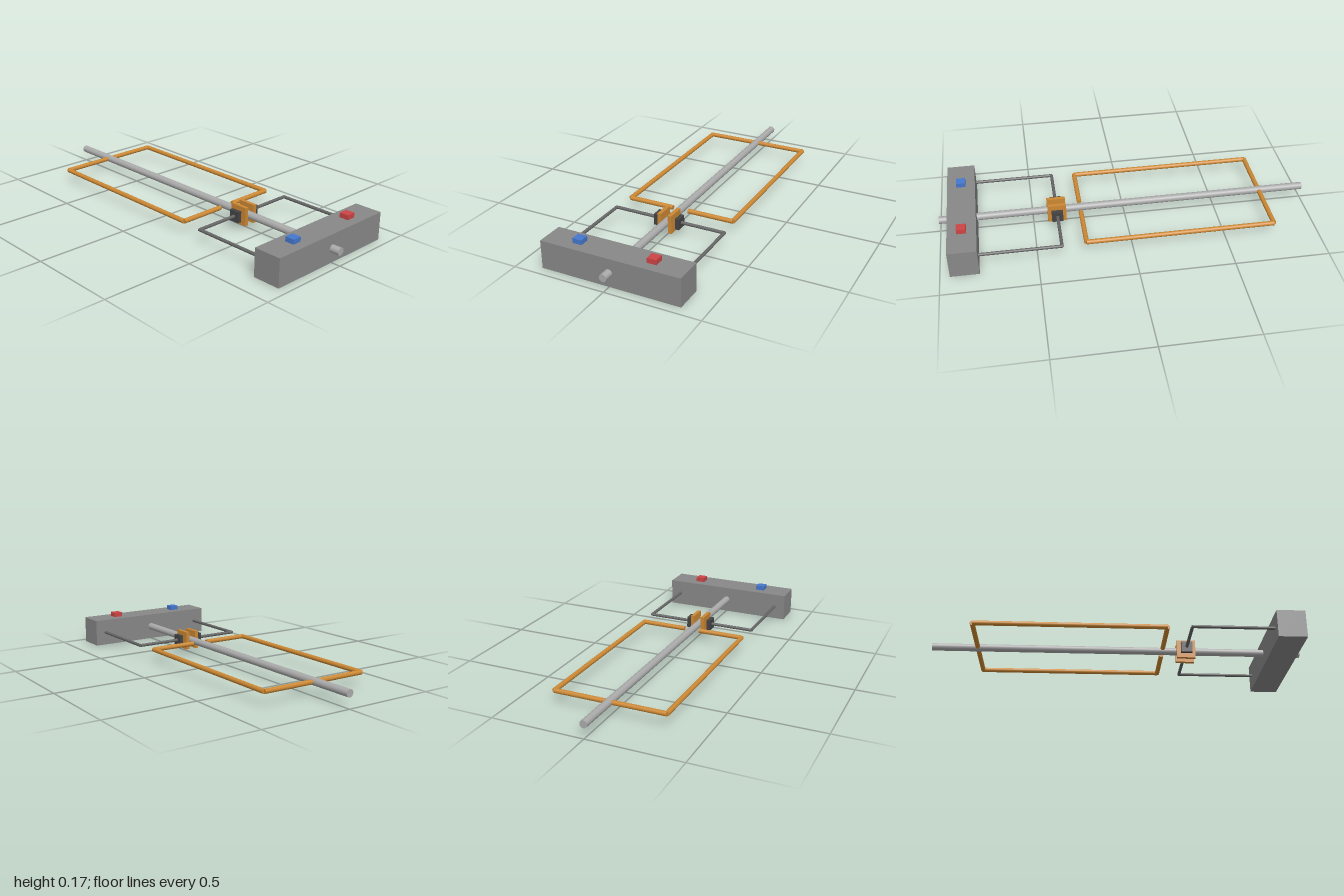
import * as THREE from 'three';

const AXIS_Y = 0.075; // height shared by shaft, coil and leads

const paint = (color) => new THREE.MeshStandardMaterial({ color });

export function createModel() {
  const model = new THREE.Group();
  model.name = 'simpleMotor';

  const casing = paint(0x888888);
  const steel = paint(0xaaaaaa);
  const copper = paint(0xcc8833);
  const carbon = paint(0x444444);
  const leadGrey = paint(0x666666);

  const box = (name, size, pos, material) => {
    const mesh = new THREE.Mesh(new THREE.BoxGeometry(...size), material);
    mesh.position.set(...pos);
    mesh.name = name;
    model.add(mesh);
  };

  // Straight round bar between two [x, z] points at axis height
  const rod = (name, a, b, radius, material) => {
    const from = new THREE.Vector3(a[0], AXIS_Y, a[1]);
    const dir = new THREE.Vector3(b[0], AXIS_Y, b[1]).sub(from);
    const geometry = new THREE.CylinderGeometry(radius, radius, dir.length(), 24);
    const mesh = new THREE.Mesh(geometry, material);
    mesh.position.copy(from).addScaledVector(dir, 0.5);
    mesh.quaternion.setFromUnitVectors(new THREE.Vector3(0, 1, 0), dir.normalize());
    mesh.name = name;
    model.add(mesh);
  };

  // Power supply box with its two terminals
  box('batteryBox', [0.748, 0.15, 0.15], [0, 0.075, 0.875], casing);
  box('positiveTerminal', [0.05, 0.025, 0.05], [0.2, 0.1625, 0.875], paint(0xcc4444));
  box('negativeTerminal', [0.05, 0.025, 0.05], [-0.2, 0.1625, 0.875], paint(0x4477cc));

  // Shaft through everything
  rod('shaft', [0, -1], [0, 1], 0.02, steel);

  // Coil back bar
  rod('coilBack', [-0.3, -0.755], [0.3, -0.755], 0.0125, copper);

  for (const [side, s] of [['left', 1], ['right', -1]]) {
    // Coil side and open front end
    rod(side + 'CoilSide', [s * 0.3, -0.755], [s * 0.3, 0.245], 0.0125, copper);
    rod(side + 'CoilFront', [s * 0.3, 0.245], [s * 0.045, 0.245], 0.0125, copper);

    // Commutator plate and brush
    box(side + 'CommutatorPlate', [0.02, 0.1, 0.1], [s * 0.03, AXIS_Y, 0.373], copper);
    box(side + 'Brush', [0.022, 0.06, 0.06], [s * 0.061, AXIS_Y, 0.373], carbon);

    // Lead from brush back to the box
    rod(side + 'LeadCross', [s * 0.07, 0.373], [s * 0.3125, 0.373], 0.0085, leadGrey);
    rod(side + 'LeadSide', [s * 0.3125, 0.37], [s * 0.3125, 0.81], 0.0085, leadGrey);
  }

  return model;
}
